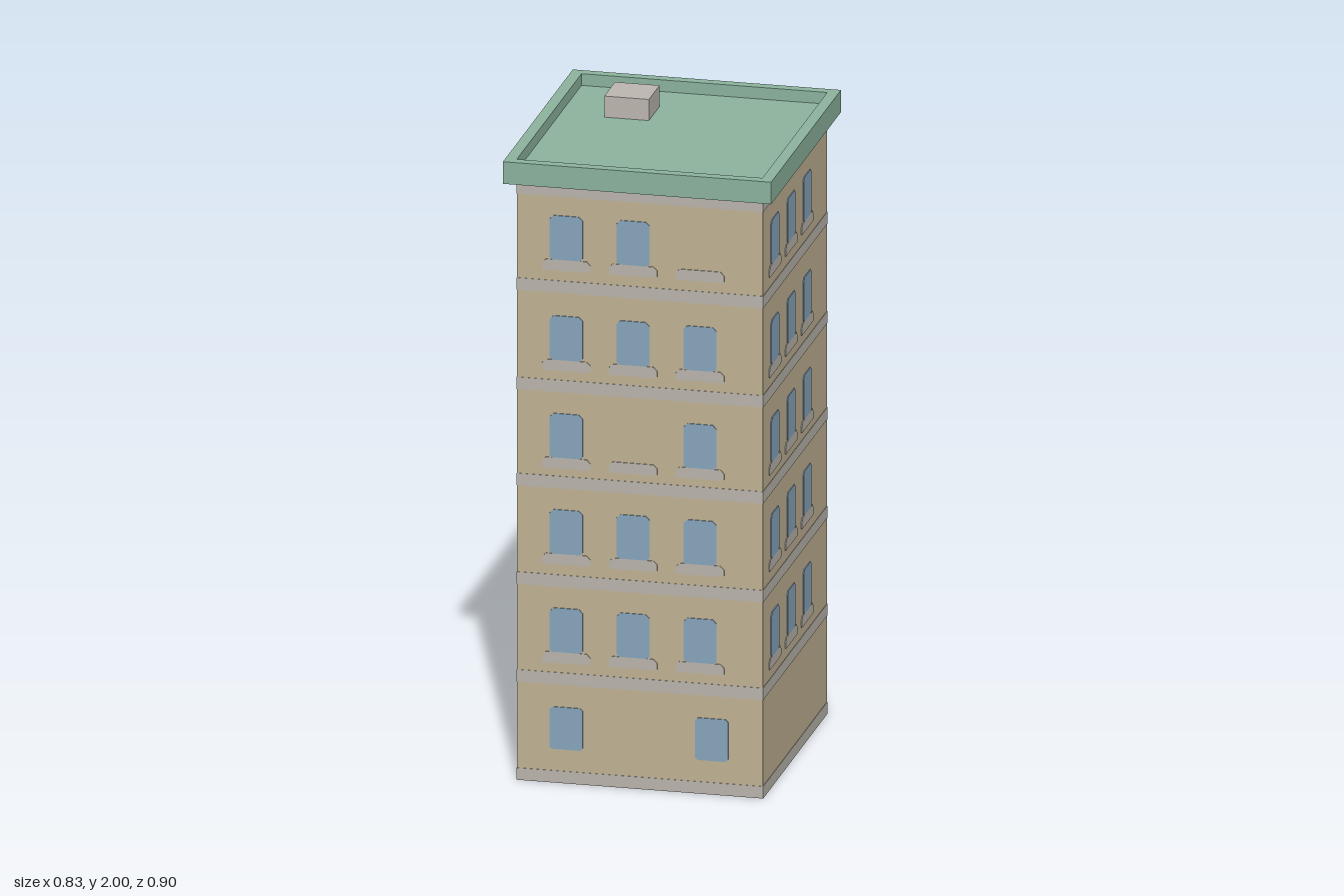
import * as THREE from 'three';

const mat = (name, color) => Object.assign(new THREE.MeshStandardMaterial({ color }), { name });

// Rectangle with cut corners, standing on y = 0 and centred on x
function plate(w, h, topCut, bottomCut) {
  const a = w / 2, t = topCut, b = bottomCut;
  const s = new THREE.Shape();
  s.moveTo(-a + b, 0);
  s.lineTo(a - b, 0);
  s.lineTo(a, b);
  s.lineTo(a, h - t);
  s.lineTo(a - t, h);
  s.lineTo(-a + t, h);
  s.lineTo(-a, h - t);
  s.lineTo(-a, b);
  return new THREE.ExtrudeGeometry(s, { depth: 0.003, bevelEnabled: false });
}

export function createModel() {
  const wall = mat('wall sand', 0xc0b294);
  const trim = mat('trim grey', 0xbab5ad);
  const glass = mat('window blue', 0x87a5bd);
  const green = mat('roof green', 0x8cb39e);
  const hatch = mat('roof hatch grey', 0xbcb6af);

  const model = new THREE.Group();
  model.name = 'apartmentBlock';
  const W = 0.76, D = 0.822, TOP = 1.9;

  const add = (parent, name, geometry, material, x = 0, y = 0, z = 0) => {
    const m = new THREE.Mesh(geometry, material);
    m.name = name;
    m.position.set(x, y, z);
    parent.add(m);
    return m;
  };
  const box = (name, material, w, h, d, x, y0, z) =>
    add(model, name, new THREE.BoxGeometry(w, h, d), material, x, y0 + h / 2, z);

  // Main block, with bands wrapped round every floor line
  box('walls', wall, W, TOP - 0.002, D, 0, 0.001, 0);
  for (const y of [0, 0.312, 0.622, 0.935, 1.24, 1.555, 1.86])
    box('floorBand', trim, W + 0.003, 0.038, D + 0.003, 0, y, 0);

  // Windows and sills
  const paneGeo = plate(0.102, 0.14, 0.012, 0.008);
  const sillGeo = plate(0.15, 0.034, 0.012, 0.004);
  const floors = [0.415, 0.727, 1.032, 1.342, 1.66];

  // columns: window centres in the facade's own x; blind: "floor,column" with only a sill
  function facade(name, angle, distance, columns, blind) {
    const g = new THREE.Group();
    g.name = name;
    g.rotation.y = angle;
    model.add(g);
    floors.forEach((y, f) => columns.forEach((x, c) => {
      add(g, 'sill', sillGeo, trim, x, y - 0.034, distance);
      if (!blind.includes(`${f},${c}`)) add(g, 'window', paneGeo, glass, x, y, distance);
    }));
    return g;
  }
  const xs = [-0.228, -0.021, 0.186], zs = [0.26, 0.052, -0.154];
  const blind = ['2,1', '4,2'];
  const front = facade('frontFacade', 0, D / 2, xs, blind);
  facade('backFacade', Math.PI, D / 2, xs.map(x => -x), blind);
  facade('leftFacade', Math.PI / 2, W / 2, zs.map(z => -z), []);
  facade('rightFacade', -Math.PI / 2, W / 2, zs, []);

  // Ground floor windows, on the front only
  for (const x of [-0.228, 0.222])
    add(front, 'groundWindow', plate(0.102, 0.134, 0.008, 0.008), glass, x, 0.107, D / 2);

  // Roof: raised rim around a sunken deck
  const rect = (Shape, a, b) => new Shape([[-a, -b], [a, -b], [a, b], [-a, b]]
    .map(p => new THREE.Vector2(...p)));
  const rimShape = rect(THREE.Shape, 0.415, 0.449);
  rimShape.holes.push(rect(THREE.Path, 0.38, 0.416));
  const rimGeo = new THREE.ExtrudeGeometry(rimShape, { depth: 0.07, bevelEnabled: false });
  rimGeo.rotateX(-Math.PI / 2);
  add(model, 'roofRim', rimGeo, green, 0, TOP, 0);
  box('roofDeck', green, 0.76, 0.033, 0.832, 0, TOP, 0);

  // Roof hatch
  box('roofHatch', hatch, 0.138, 0.07, 0.137, -0.174, 1.93, -0.208);

  return model;
}
